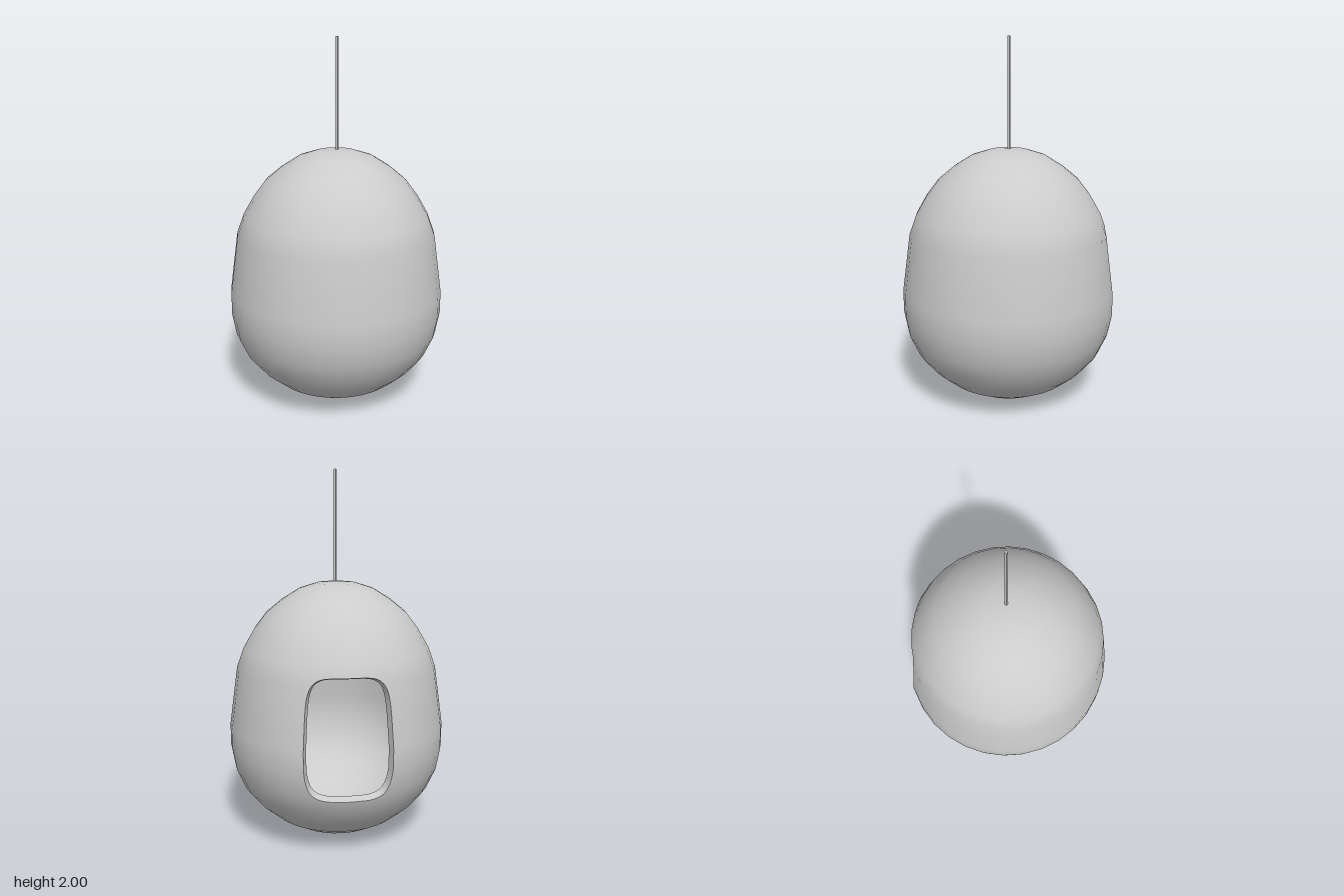
import * as THREE from 'three';

// Egg outline from bottom to top: [radius, height]
const PROFILE = [
  [0, 0], [0.125, 0.012], [0.24, 0.04], [0.35, 0.1], [0.445, 0.18], [0.52, 0.27],
  [0.57, 0.38], [0.592, 0.5], [0.592, 0.62], [0.548, 0.94], [0.51, 1.045], [0.45, 1.15],
  [0.385, 1.235], [0.3, 1.305], [0.205, 1.365], [0.108, 1.396], [0, 1.405],
];
const SEGMENTS = 32;
const RINGS = PROFILE.length - 1;
const WALL = 0.045;

// Grid cells replaced by the finer patch around the opening
const PATCH = { i0: 0, i1: 6, j0: 5, j1: 10 };
// Opening: centre and half sizes, in segments around and in height
const HOLE = { i: 3, y: 0.665, di: 2, dy: 0.315, power: 5 };

// Outline normals, averaged from the neighbouring points
const NORMALS = PROFILE.map((p, j) => {
  if (j === 0) return [0, -1];
  if (j === RINGS) return [0, 1];
  const a = PROFILE[j - 1], b = PROFILE[j + 1];
  const n = new THREE.Vector2(b[1] - a[1], a[0] - b[0]).normalize();
  return [n.x, n.y];
});

// Ring position for a given height
function ringAt(y) {
  let j = 0;
  while (j < RINGS - 1 && PROFILE[j + 1][1] < y) j++;
  return j + (y - PROFILE[j][1]) / (PROFILE[j + 1][1] - PROFILE[j][1]);
}

function gridVertex(i, j, inset) {
  const t = (i / SEGMENTS) * Math.PI * 2;
  const [nr, ny] = NORMALS[j];
  const r = PROFILE[j][0] - nr * inset;
  const y = PROFILE[j][1] - ny * inset;
  return {
    position: new THREE.Vector3(-r * Math.sin(t), y, -r * Math.cos(t)),
    normal: new THREE.Vector3(-nr * Math.sin(t), ny, -nr * Math.cos(t)),
  };
}

// Point on the faceted surface at fractional grid coordinates
function surface(i, j, inset) {
  const a = Math.min(Math.floor(i), SEGMENTS - 1), b = Math.min(Math.floor(j), RINGS - 1);
  const u = i - a, v = j - b;
  const mix = (key) => {
    const c = (di, dj) => gridVertex(a + di, b + dj, inset)[key];
    return c(0, 0).lerp(c(1, 0), u).lerp(c(0, 1).lerp(c(1, 1), u), v);
  };
  return { position: mix('position'), normal: mix('normal').normalize() };
}

// Counter-clockwise walk round the patch border, as [segment, height]
function patchBorder() {
  const { i0, i1, j0, j1 } = PATCH;
  const corners = [[i0, j0], [i1, j0], [i1, j1], [i0, j1]];
  const points = [];
  corners.forEach(([i, j], c) => {
    const [ni, nj] = corners[(c + 1) % 4];
    const steps = 4 * (Math.abs(ni - i) + Math.abs(nj - j));
    for (let s = 0; s < steps; s++) {
      const jj = j + ((nj - j) * s) / steps;
      const b = Math.min(Math.floor(jj), RINGS - 1);
      const y = THREE.MathUtils.lerp(PROFILE[b][1], PROFILE[b + 1][1], jj - b);
      points.push([i + ((ni - i) * s) / steps, y]);
    }
  });
  return points;
}

// Border point moved straight in to the rounded edge of the opening
function holePoint([i, y]) {
  const dx = (i - HOLE.i) / HOLE.di, dy = (y - HOLE.y) / HOLE.dy, n = HOLE.power;
  const s = (Math.abs(dx) ** n + Math.abs(dy) ** n) ** (-1 / n);
  return [HOLE.i + dx * s * HOLE.di, HOLE.y + dy * s * HOLE.dy];
}

function toGeometry(positions, normals, index) {
  const g = new THREE.BufferGeometry();
  g.setAttribute('position', new THREE.Float32BufferAttribute(positions, 3));
  g.setIndex(index);
  if (normals) g.setAttribute('normal', new THREE.Float32BufferAttribute(normals, 3));
  else g.computeVertexNormals();
  return g;
}

// One skin of the egg; the inner one is turned to face inwards
function skinGeometry(inset, inward) {
  const positions = [], normals = [], index = [];
  const add = ({ position, normal }) => {
    positions.push(...position.toArray());
    normals.push(...normal.multiplyScalar(inward ? -1 : 1).toArray());
  };
  const quad = (a, b, c, d) => index.push(...(inward ? [a, c, b, a, d, c] : [a, b, c, a, c, d]));

  for (let j = 0; j <= RINGS; j++)
    for (let i = 0; i <= SEGMENTS; i++) add(gridVertex(i, j, inset));
  const row = SEGMENTS + 1;
  for (let j = 0; j < RINGS; j++) {
    for (let i = 0; i < SEGMENTS; i++) {
      if (i >= PATCH.i0 && i < PATCH.i1 && j >= PATCH.j0 && j < PATCH.j1) continue;
      const a = j * row + i;
      quad(a, a + 1, a + row + 1, a + row);
    }
  }

  // Loops closing in from the patch border to the opening
  const border = patchBorder(), count = border.length, loops = 4;
  const start = positions.length / 3;
  for (let k = 0; k <= loops; k++) {
    for (const p of border) {
      const h = holePoint(p), t = k / loops;
      add(surface(p[0] + (h[0] - p[0]) * t, ringAt(p[1] + (h[1] - p[1]) * t), inset));
    }
  }
  for (let k = 0; k < loops; k++) {
    for (let m = 0; m < count; m++) {
      const a = start + k * count + m, b = start + k * count + ((m + 1) % count);
      quad(a, b, b + count, a + count);
    }
  }
  return toGeometry(positions, normals, index);
}

// Edge of the wall around the opening
function rimGeometry() {
  const edge = patchBorder().map(holePoint), count = edge.length;
  const positions = [], index = [];
  for (const inset of [0, WALL])
    for (const [i, y] of edge) positions.push(...surface(i, ringAt(y), inset).position.toArray());
  for (let m = 0; m < count; m++) {
    const n = (m + 1) % count;
    index.push(m, n, n + count, m, n + count, m + count);
  }
  return toGeometry(positions, null, index);
}

export function createModel() {
  const material = new THREE.MeshStandardMaterial({ color: 0xcccccc });
  const model = new THREE.Group();
  model.name = 'hangingPod';
  const add = (name, geometry) => {
    const mesh = new THREE.Mesh(geometry, material);
    mesh.name = name;
    model.add(mesh);
    return mesh;
  };

  add('outerShell', skinGeometry(0, false));
  add('innerShell', skinGeometry(WALL, true));
  add('openingRim', rimGeometry());

  // Thin square cord the pod hangs from
  add('cord', new THREE.BoxGeometry(0.012, 0.61, 0.012)).position.set(0.005, 1.695, -0.005);

  return model;
}
